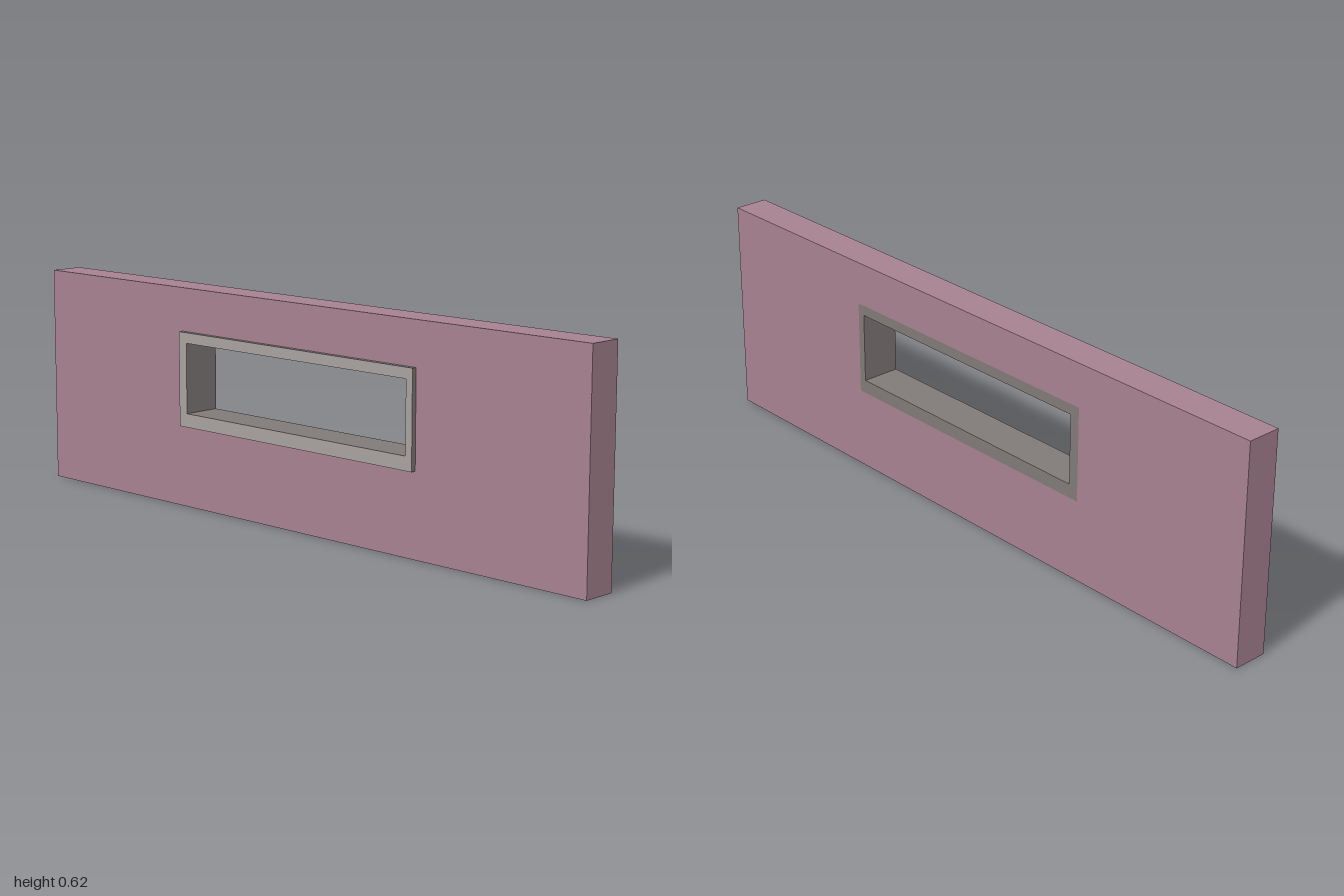
import * as THREE from 'three';

const material = (name, color) => new THREE.MeshStandardMaterial({ name, color });

// Rectangle corners, used for outlines and openings
const corners = ([x0, x1, y0, y1]) => [[x0, y0], [x1, y0], [x1, y1], [x0, y1]]
  .map(([x, y]) => new THREE.Vector2(x, y));

// Rectangular slab with a rectangular opening, from z0 to z1
function ring(name, outer, inner, z0, z1, materials) {
  const shape = new THREE.Shape(corners(outer));
  shape.holes.push(new THREE.Path(corners(inner).reverse()));
  const geometry = new THREE.ExtrudeGeometry(shape, { depth: z1 - z0, bevelEnabled: false });
  geometry.translate(0, 0, z0);
  const mesh = new THREE.Mesh(geometry, materials);
  mesh.name = name;
  return mesh;
}

export function createModel() {
  const group = new THREE.Group();
  group.name = 'wallWithWindow';

  const mauve = material('mauve wall', 0xa5818f);
  const darkGrey = material('dark grey frame', 0x807a78);
  const lightGrey = material('light grey frame face', 0xa7a19f);

  const wall = [-1, 1, 0, 0.625];
  const frame = [-0.433, 0.445, 0.233, 0.502];
  const opening = [-0.403, 0.423, 0.272, 0.472];
  const back = -0.056, wallFront = 0.042, frameFront = 0.056, face = 0.004;

  // Wall panel, cut out around the frame
  group.add(ring('wall', wall, frame, back, wallFront, mauve));
  // Frame lining the cut-out, flush behind and proud in front
  group.add(ring('windowFrame', frame, opening, back, frameFront - face, darkGrey));
  // Lighter front face of the frame with dark edges
  group.add(ring('frameFace', frame, opening, frameFront - face, frameFront, [lightGrey, darkGrey]));

  return group;
}
